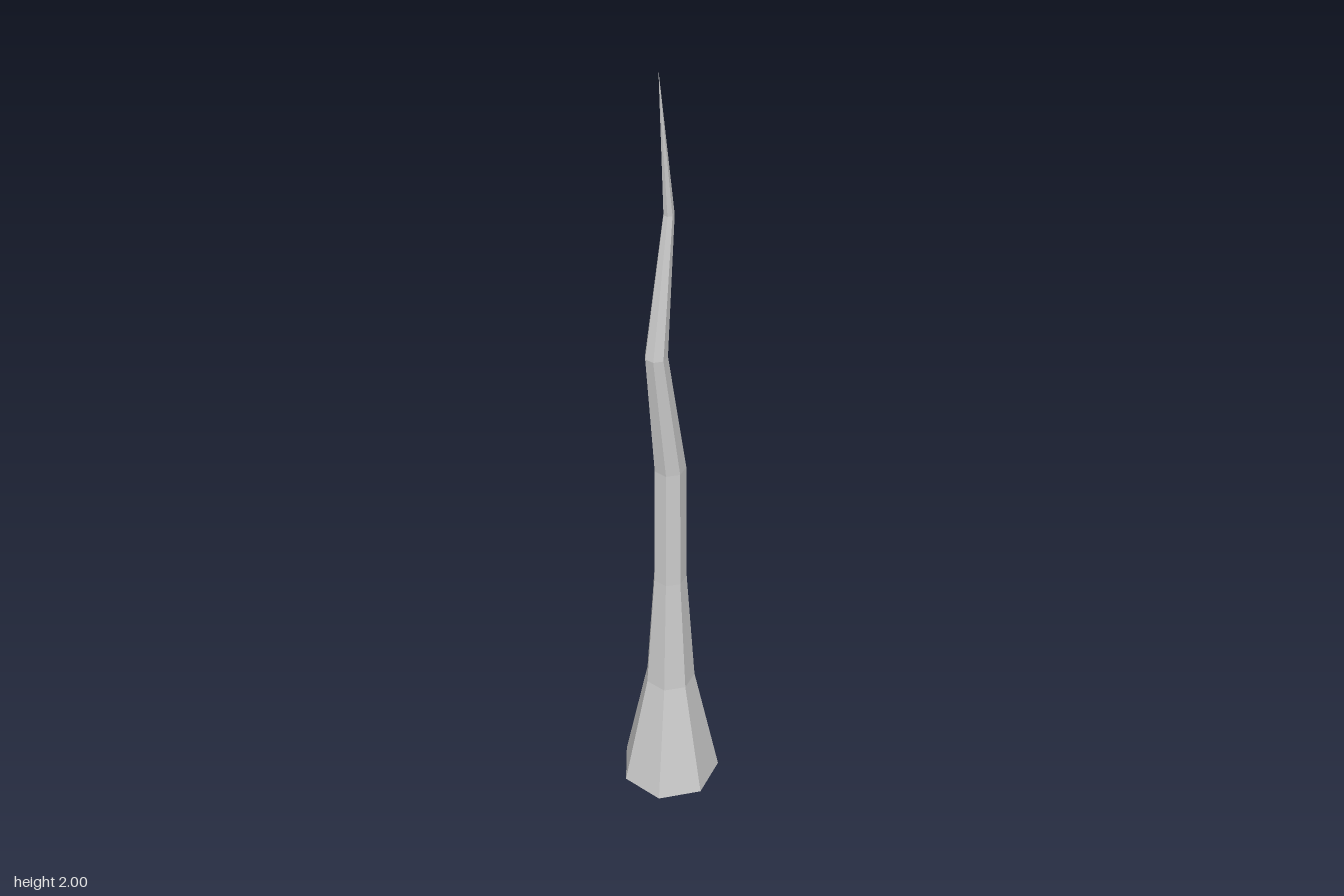
import * as THREE from 'three';

// Cross-sections from base to tip, evenly spaced in height: [radius, z offset]
const RINGS = [
  [0.1305, 0.0055],
  [0.064, 0.0055],
  [0.042, 0.0055],
  [0.039, 0.005],
  [0.0265, 0.0535],
  [0.0125, 0.0075],
  [0, 0.04],
];
const HEIGHT = 2;
const SIDES = 7;

export function createModel() {
  const group = new THREE.Group();
  group.name = 'crookedSpike';

  // Seven-sided cone with one corner pointing to the back
  const steps = RINGS.length - 1;
  const geometry = new THREE.CylinderGeometry(0, 1, HEIGHT, SIDES, steps, false, Math.PI);
  geometry.translate(0, HEIGHT / 2, 0);

  // Flare the foot and bend the shaft by resizing and shifting each ring
  const p = geometry.attributes.position;
  for (let i = 0; i < p.count; i++) {
    const [radius, z] = RINGS[Math.round((p.getY(i) / HEIGHT) * steps)];
    const length = Math.hypot(p.getX(i), p.getZ(i));
    const scale = length > 1e-6 ? radius / length : 0;
    p.setX(i, p.getX(i) * scale);
    p.setZ(i, p.getZ(i) * scale + z);
  }
  geometry.computeVertexNormals();

  const material = new THREE.MeshStandardMaterial({ color: 0xcccccc, flatShading: true });
  const spike = new THREE.Mesh(geometry, material);
  spike.name = 'spike';
  group.add(spike);
  return group;
}
